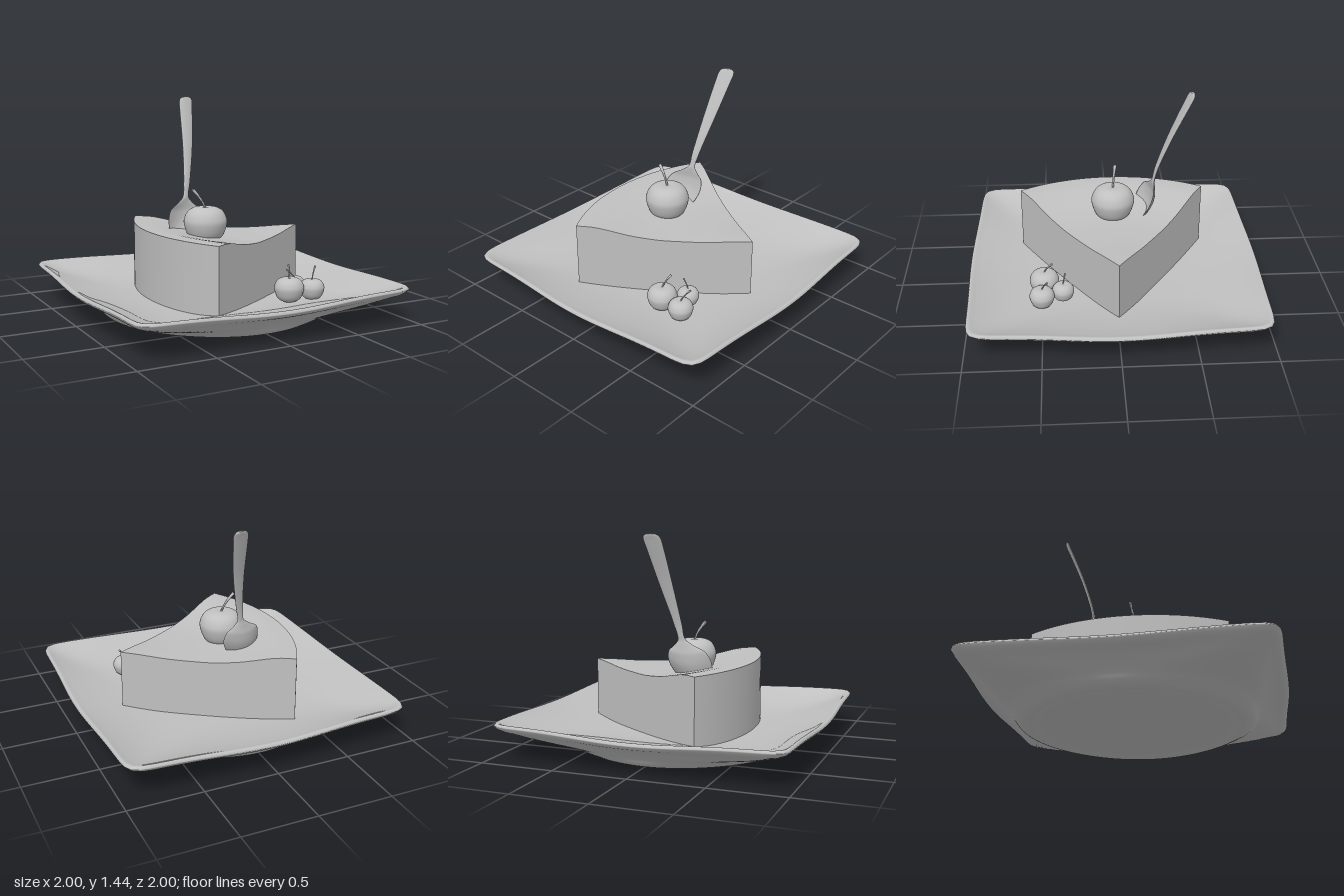
import * as THREE from 'three';
import { toCreasedNormals } from 'three/addons/utils/BufferGeometryUtils.js';

const V = (x, y, z) => new THREE.Vector3(x, y, z);

// Skin through a list of closed cross-sections with equal point counts
function loft(rows) {
  const n = rows[0].length;
  const index = [];
  for (let i = 0; i < rows.length - 1; i++) {
    for (let j = 0; j < n; j++) {
      const k = (j + 1) % n;
      const a = i * n + j, b = a + n, c = i * n + k, d = c + n;
      index.push(a, b, c, b, d, c);
    }
  }
  const geometry = new THREE.BufferGeometry().setFromPoints(rows.flat());
  geometry.setIndex(index);
  geometry.computeVertexNormals();
  return geometry;
}

// Smooth interpolation through [a, b] pairs
function smoothProfile(pairs) {
  const curve = new THREE.SplineCurve(pairs.map(([a, b]) => new THREE.Vector2(a, b)));
  return curve.getPoints(pairs.length * 4);
}

// Plate: round foot blending into a rounded square rim with lifted corners
function plateGeometry() {
  const SEG = 160;
  const underside = smoothProfile([
    [0, 0.015], [0.35, 0.015], [0.6, 0.013], [0.68, 0.004], [0.73, 0.008], [0.77, 0.032],
    [0.8, 0.07], [0.85, 0.112], [0.91, 0.15], [0.975, 0.178], [1, 0.203],
  ]);
  const inside = smoothProfile([
    [1, 0.203], [0.985, 0.221], [0.93, 0.204], [0.8, 0.17], [0.62, 0.137], [0.4, 0.117], [0, 0.11],
  ]);
  const section = ({ x, y }, squareFrom) => {
    const r = THREE.MathUtils.clamp(x, 0, 1);
    const square = THREE.MathUtils.smoothstep(r, squareFrom, 1);
    const n = 2 + 18 * square * square;
    return Array.from({ length: SEG }, (_, j) => {
      const a = (j / SEG) * Math.PI * 2;
      const c = Math.cos(a), s = Math.sin(a), corner = Math.sin(2 * a) ** 2;
      const k = r * (Math.abs(c) ** n + Math.abs(s) ** n) ** (-1 / n) * (1 - 0.025 * square * corner);
      return V(k * c, Math.max(0, y) + 0.03 * r ** 6 * corner, k * s);
    });
  };
  return loft([
    ...underside.map((p) => section(p, 0.72)),
    ...inside.slice(1).map((p) => section(p, 0.2)),
  ]);
}

// Cake: wedge around its tip, top height depends on distance from the tip
function cakeGeometry() {
  const TIP = 0.67, R = 1.168, HALF = 0.588, EDGE = 24, BASE = 0.1;
  const heights = smoothProfile([
    [0, 0.54], [0.14, 0.53], [0.33, 0.513], [0.57, 0.508], [0.69, 0.515],
    [0.81, 0.53], [0.93, 0.555], [1.05, 0.577], [1.17, 0.58],
  ]);
  const topY = (r) => {
    const i = Math.max(1, heights.findIndex((p) => p.x >= r));
    const p = heights[i - 1], q = heights[i];
    return THREE.MathUtils.mapLinear(r, p.x, q.x, p.y, q.y);
  };
  const polar = (r, a) => V(TIP - r * Math.cos(a), 0, r * Math.sin(a));
  const outline = [];
  for (let i = 0; i < EDGE; i++) outline.push(polar((R * i) / EDGE, HALF));
  for (let i = 0; i < EDGE; i++) {
    const u = 1 - (2 * i) / EDGE;
    outline.push(polar(R - 0.015 * Math.cos((u * Math.PI) / 2), HALF * u));
  }
  for (let i = 0; i < EDGE; i++) outline.push(polar(R * (1 - i / EDGE), -HALF));

  const centre = V(-0.05, 0, 0);
  const ring = (scale, y) => outline.map((p) => {
    const q = centre.clone().lerp(p, scale);
    q.y = y ?? topY(Math.hypot(TIP - q.x, q.z));
    return q;
  });
  const rows = [ring(0, BASE), ring(1, BASE)];
  for (let i = 12; i >= 0; i--) rows.push(ring(i / 12));
  return toCreasedNormals(loft(rows), 0.6);
}

// Spoon: stations [x, y, z, half width, bowl depth] from bowl tip to handle end
function spoonGeometry() {
  const stations = [
    [-0.14, 0.44, -0.155, 0.003, 0],
    [-0.136, 0.46, -0.163, 0.07, 0.025],
    [-0.125, 0.52, -0.185, 0.125, 0.05],
    [-0.11, 0.6, -0.215, 0.142, 0.056],
    [-0.1, 0.67, -0.247, 0.12, 0.036],
    [-0.088, 0.712, -0.266, 0.062, 0.012],
    [-0.077, 0.75, -0.276, 0.025, 0],
    [-0.058, 0.85, -0.295, 0.027, 0],
    [-0.012, 1.1, -0.375, 0.043, 0],
    [0.026, 1.35, -0.475, 0.056, 0],
    [0.036, 1.41, -0.5, 0.057, 0],
    [0.04, 1.432, -0.51, 0.046, 0],
    [0.041, 1.441, -0.513, 0.022, 0],
    [0.041, 1.442, -0.513, 0.001, 0],
  ];
  const path = new THREE.CatmullRomCurve3(stations.map(([x, y, z]) => V(x, y, z)));
  const size = new THREE.CatmullRomCurve3(stations.map(([, y, , w, d]) => V(w, d, y)));
  const across = V(0.98, 0, -0.18).normalize();
  const SEG = 24, STEPS = 78, rows = [];
  for (let i = 0; i <= STEPS; i++) {
    const t = i / STEPS;
    const p = path.getPoint(t), s = size.getPoint(t);
    const w = Math.max(0.001, s.x), d = Math.max(0, s.y);
    const thick = Math.min(0.01, w);
    const normal = across.clone().cross(path.getTangent(t)).normalize();
    rows.push(Array.from({ length: SEG }, (_, j) => {
      const a = (j / SEG) * Math.PI * 2, sn = Math.sin(a);
      return p.clone().addScaledVector(across, w * Math.cos(a))
        .addScaledVector(normal, thick * sn - d * sn * sn);
    }));
  }
  return loft(rows);
}

// Cherry: slightly flattened fruit of radius r and a curved stem widening at its tip
function createCherry(name, material, [x, y, z], r, tip) {
  const group = new THREE.Group();
  group.name = name;
  group.position.set(x, y, z);

  const profile = smoothProfile([
    [0, -0.88], [0.4, -0.83], [0.8, -0.56], [1, 0], [0.96, 0.33],
    [0.8, 0.6], [0.55, 0.75], [0.3, 0.79], [0.12, 0.77], [0, 0.74],
  ]).map((p) => new THREE.Vector2(Math.max(0, p.x) * r, p.y * r));
  const fruit = new THREE.Mesh(new THREE.LatheGeometry(profile, 40), material);
  fruit.name = 'fruit';

  const base = V(0, 0.7 * r, 0), end = V(...tip);
  const bend = V(end.x * 0.25, (base.y + end.y) / 2, end.z * 0.3);
  const curve = new THREE.QuadraticBezierCurve3(base, bend, end);
  const SEG = 10, rows = [];
  for (let i = 0; i <= 10; i++) {
    const t = i / 10;
    const p = curve.getPoint(t), T = curve.getTangent(t);
    const side = V(1, 0, 0).cross(T).normalize(), other = T.clone().cross(side);
    const ring = (k) => Array.from({ length: SEG }, (_, j) => {
      const a = (j / SEG) * Math.PI * 2;
      return p.clone().addScaledVector(side, -k * Math.cos(a)).addScaledVector(other, k * Math.sin(a));
    });
    rows.push(ring(r * (0.045 + 0.035 * t * t)));
    if (i === 10) rows.push(ring(0));
  }
  const stem = new THREE.Mesh(toCreasedNormals(loft(rows), 0.9), material);
  stem.name = 'stem';
  group.add(fruit, stem);
  return group;
}

export function createModel() {
  const model = new THREE.Group();
  model.name = 'cakeOnPlate';
  const grey = new THREE.MeshStandardMaterial({ color: 0xc0c0c0, side: THREE.DoubleSide });
  grey.name = 'light grey';

  const add = (name, geometry) => {
    const mesh = new THREE.Mesh(geometry, grey);
    mesh.name = name;
    model.add(mesh);
  };
  add('plate', plateGeometry());
  add('cakeSlice', cakeGeometry());
  add('spoon', spoonGeometry());

  // One large cherry on the cake, three small ones on the plate
  model.add(
    createCherry('topCherry', grey, [-0.063, 0.603, 0.003], 0.147, [-0.085, 0.235, -0.02]),
    createCherry('largePlateCherry', grey, [0.31, 0.208, 0.485], 0.098, [0.03, 0.15, -0.055]),
    createCherry('mediumPlateCherry', grey, [0.48, 0.195, 0.5], 0.082, [0.05, 0.14, -0.04]),
    createCherry('smallPlateCherry', grey, [0.425, 0.2, 0.36], 0.073, [-0.05, 0.105, -0.015]),
  );
  return model;
}
